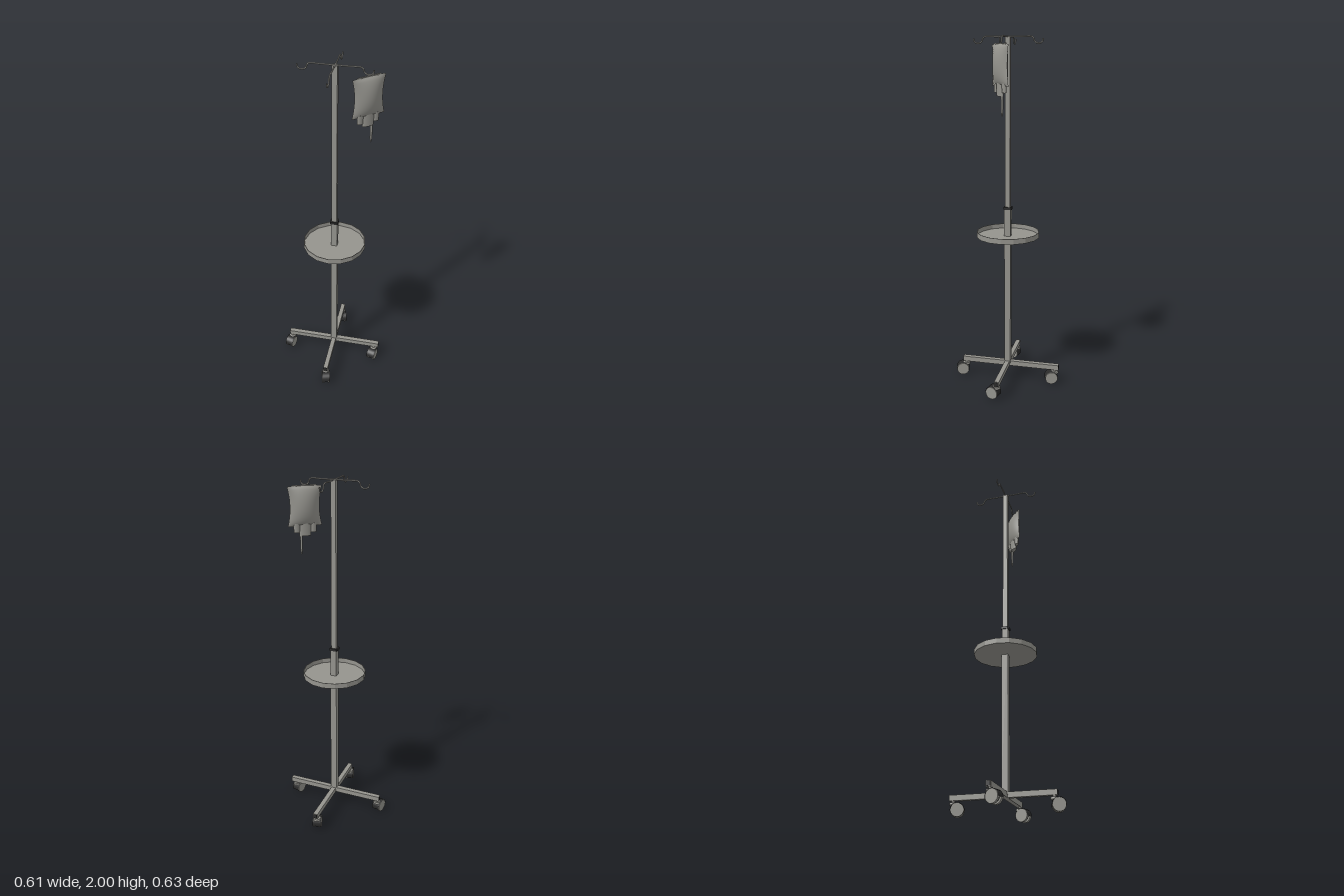
import * as THREE from 'three';
import { toCreasedNormals } from 'three/addons/utils/BufferGeometryUtils.js';

const steel = new THREE.MeshStandardMaterial({ color: 0x95948e, side: THREE.DoubleSide });
steel.name = 'grey metal';
const rubber = new THREE.MeshStandardMaterial({ color: 0x2a2a2a, side: THREE.DoubleSide });
rubber.name = 'black rubber';

const CX = 0.007, CZ = -0.005; // pole axis

function add(parent, name, geometry, material, x = 0, y = 0, z = 0) {
  const mesh = new THREE.Mesh(geometry, material);
  mesh.name = name;
  mesh.position.set(x, y, z);
  parent.add(mesh);
  return mesh;
}

const box = (w, h, d) => new THREE.BoxGeometry(w, h, d);
const cyl = (rt, rb, h, n = 20) => new THREE.CylinderGeometry(rt, rb, h, n);

// Swivel caster with its pivot at the origin, trailing toward local +z
function makeCaster() {
  const g = new THREE.Group();
  g.name = 'caster';
  add(g, 'casterStem', cyl(0.009, 0.009, 0.02, 12), steel, 0, 0.078, 0);
  add(g, 'casterSwivel', cyl(0.02, 0.022, 0.012), steel, 0, 0.068, 0);
  for (const s of [-1, 1]) {
    add(g, 'wheel', cyl(0.036, 0.036, 0.016, 24).rotateZ(Math.PI / 2), steel, s * 0.017, 0.036, 0.022);
  }
  add(g, 'wheelCore', cyl(0.026, 0.026, 0.02).rotateZ(Math.PI / 2), rubber, 0, 0.036, 0.022);
  const hood = new THREE.CylinderGeometry(0.038, 0.038, 0.048, 20, 1, true, -0.1, Math.PI + 0.5);
  add(g, 'wheelHood', hood.rotateZ(Math.PI / 2), rubber, 0, 0.036, 0.022);
  return g;
}

// One hook arm running along local +x
function makeHook() {
  const pts = [[0, 1.996], [0.07, 1.996], [0.128, 1.996], [0.138, 1.99], [0.145, 1.972],
    [0.158, 1.962], [0.173, 1.961], [0.187, 1.969], [0.192, 1.986]]
    .map(([x, y]) => new THREE.Vector3(x, y, 0));
  return new THREE.TubeGeometry(new THREE.CatmullRomCurve3(pts), 40, 0.004, 8);
}

// Pillow-shaped half of the bag: waisted outline, bulging in the middle
function makeBagHalf() {
  const geo = new THREE.PlaneGeometry(2, 1, 20, 20);
  const p = geo.attributes.position;
  for (let i = 0; i < p.count; i++) {
    const u = p.getX(i), v = p.getY(i) + 0.5;
    const side = 2 * v - 1;
    const width = 0.081 + 0.014 * side * side;
    const bulge = 0.033 * Math.pow(Math.max(0, 4 * v * (1 - v)), 0.6) * (1 - u * u);
    const crown = 0.006 * (1 - u * u) * v;
    p.setXYZ(i, u * width, 1.742 + 0.21 * v + crown, bulge);
  }
  geo.computeVertexNormals();
  return geo;
}

function makeBag() {
  const g = new THREE.Group();
  g.name = 'fluidBag';
  add(g, 'bagFront', makeBagHalf(), steel);
  add(g, 'bagBack', makeBagHalf().rotateY(Math.PI), steel);
  // Welded strip along the top
  add(g, 'topSeam', box(0.13, 0.008, 0.006), steel, 0, 1.955, 0);
  // Outlet ports under the bag
  add(g, 'portBlock', cyl(0.036, 0.032, 0.068).scale(1, 1, 0.4), steel, 0, 1.724, 0);
  for (const s of [-1, 1]) {
    add(g, 'sidePort', cyl(0.02, 0.016, 0.05, 14).scale(1, 1, 0.6), steel, s * 0.046, 1.733, 0);
  }
  // Drip spike with a pointed tip
  add(g, 'dripSpike', cyl(0.007, 0.006, 0.085, 12), steel, 0.022, 1.65, 0);
  add(g, 'dripTip', cyl(0.006, 0.002, 0.022, 12), steel, 0.022, 1.597, 0);
  g.position.set(0.177, 0, -0.002);
  g.rotation.y = 0.7;
  return g;
}

export function createModel() {
  const model = new THREE.Group();
  model.name = 'infusionStand';

  // Cross base with dark end plugs
  add(model, 'baseArmAcross', box(0.586, 0.03, 0.027), steel, 0.005, 0.099, CZ);
  add(model, 'baseArmAlong', box(0.027, 0.03, 0.582), steel, CX, 0.099, -0.021);
  for (const s of [-1, 1]) {
    add(model, 'armPlug', box(0.004, 0.024, 0.021), rubber, 0.005 + s * 0.2925, 0.099, CZ);
    add(model, 'armPlug', box(0.021, 0.024, 0.004), rubber, CX, 0.099, -0.021 + s * 0.2905);
  }

  // Casters: pivot x, z and swivel angle
  const casters = [[-0.272, 0, -0.26], [0.27, 0, -0.26], [0.005, 0.254, 0.27], [0.005, -0.291, 0.27]];
  for (const [x, z, turn] of casters) {
    const caster = makeCaster();
    caster.position.set(x, 0, z);
    caster.rotation.y = turn;
    model.add(caster);
  }

  // Telescoping square pole with its locking collar
  add(model, 'lowerPole', box(0.036, 0.95, 0.036), steel, CX, 0.575, CZ);
  add(model, 'upperPole', box(0.028, 0.955, 0.028), steel, CX, 1.5195, CZ);
  for (const [w, d] of [[0.046, 0.038], [0.038, 0.046]]) {
    add(model, 'poleCollar', box(w, 0.014, d), rubber, CX, 1.053, CZ);
  }

  // Sixteen-sided tray with a raised rim
  const rim = [[0, 0.886], [0.18, 0.886], [0.18, 0.917], [0.177, 0.917], [0.177, 0.89], [0, 0.89]]
    .map(([x, y]) => new THREE.Vector2(x, y));
  add(model, 'tray', toCreasedNormals(new THREE.LatheGeometry(rim, 16), 0.3), steel, CX, 0, CZ);

  // Four hooks at the top
  const hookGeometry = makeHook();
  for (let i = 0; i < 4; i++) {
    add(model, 'hook', hookGeometry, steel, CX, 0, CZ).rotation.y = i * Math.PI / 2;
  }

  model.add(makeBag());
  return model;
}
